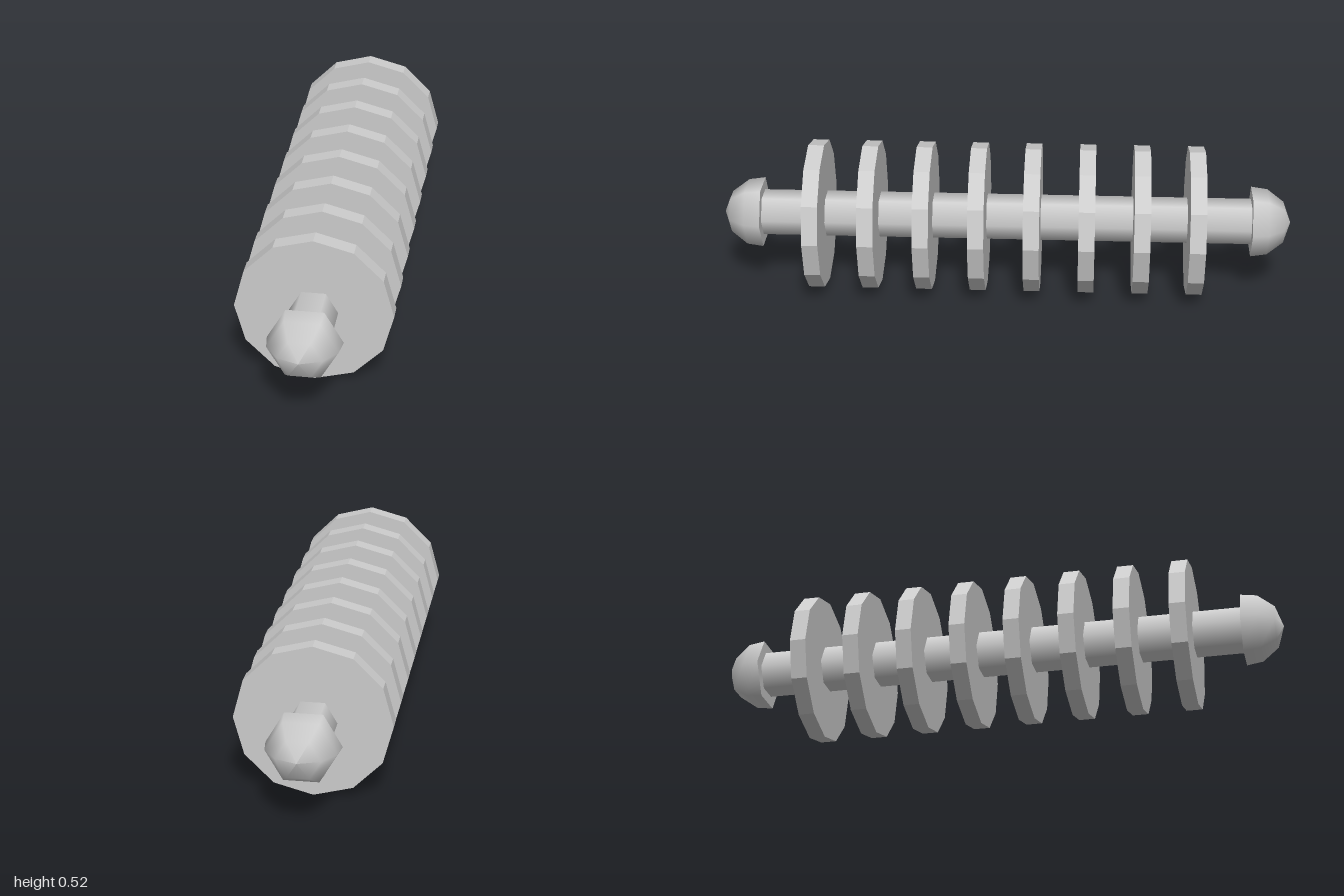
import * as THREE from 'three';

const CENTRE_Y = 0.262;

export function createModel() {
  const model = new THREE.Group();
  const grey = new THREE.MeshStandardMaterial({ color: 0xcccccc });

  function add(name, geometry, parent = model) {
    const mesh = new THREE.Mesh(geometry, grey);
    mesh.name = name;
    parent.add(mesh);
    return mesh;
  }

  // Smooth six-sided rod along z, with a corner on each side
  const rodGeometry = new THREE.CylinderGeometry(0.08, 0.08, 1.73, 6, 1, true, Math.PI / 2);
  add('rod', rodGeometry.rotateX(Math.PI / 2)).position.y = CENTRE_Y;

  // Eight faceted twelve-sided discs, evenly spaced
  const discGeometry = new THREE.CylinderGeometry(0.262, 0.262, 0.056, 12)
    .rotateX(Math.PI / 2).toNonIndexed();
  discGeometry.computeVertexNormals();
  for (let i = 0; i < 8; i++) {
    add('disc' + (i + 1), discGeometry).position.set(0, CENTRE_Y, (i - 3.5) * 0.19);
  }

  // Smooth six-sided domed caps with flat inner faces
  const profile = [[0.123, 0.861], [0.115, 0.918], [0.072, 0.975], [0, 1]]
    .map(([r, z]) => new THREE.Vector2(r, z));
  const domeGeometry = new THREE.LatheGeometry(profile, 6, Math.PI / 2).rotateX(Math.PI / 2);
  const backGeometry = new THREE.CircleGeometry(0.123, 6).rotateY(Math.PI);
  for (const [name, turn] of [['frontCap', 0], ['backCap', Math.PI]]) {
    const cap = new THREE.Group();
    cap.name = name;
    add('dome', domeGeometry, cap);
    add('innerFace', backGeometry, cap).position.z = 0.861;
    cap.position.y = CENTRE_Y;
    cap.rotation.y = turn;
    model.add(cap);
  }

  return model;
}
